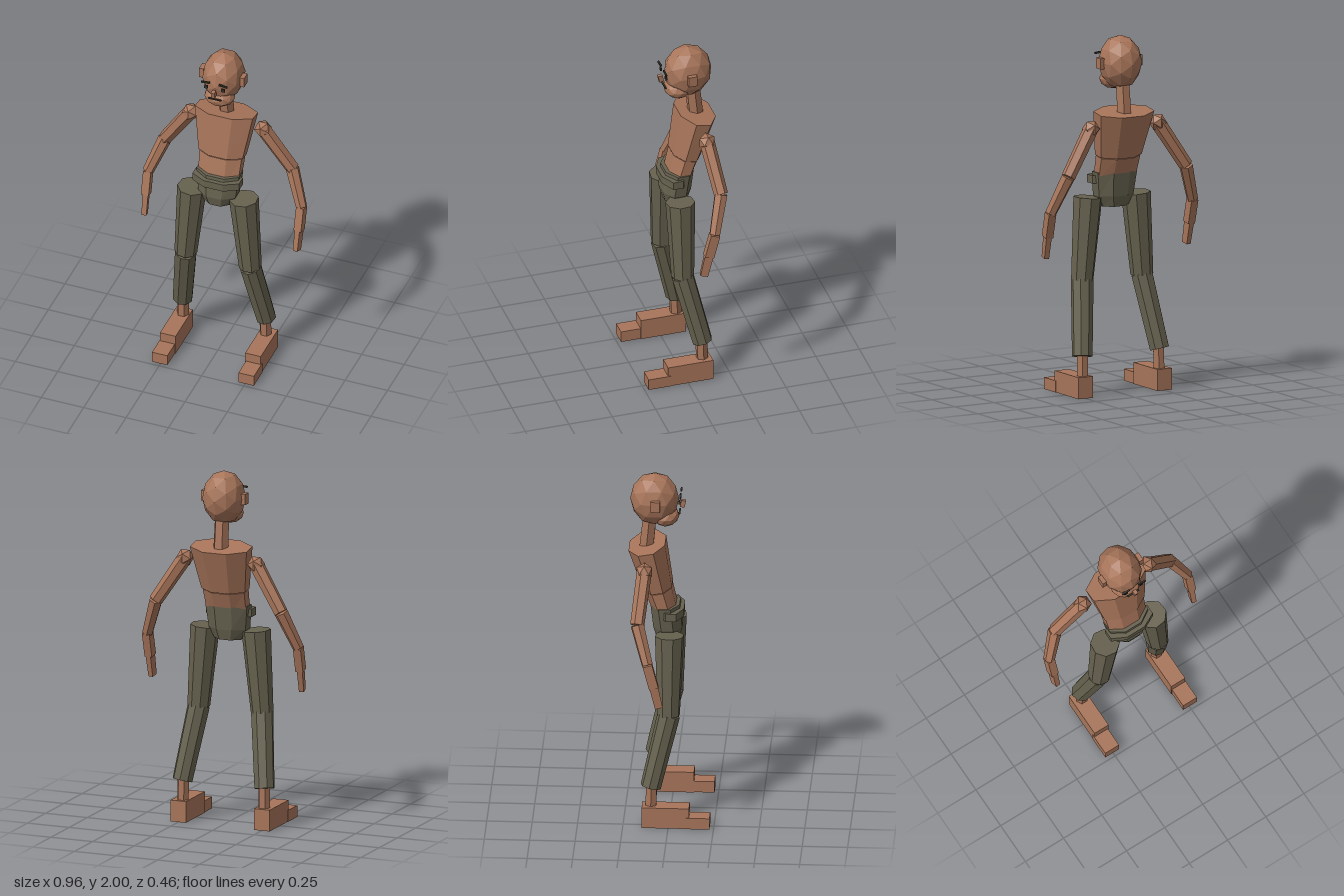
import * as THREE from 'three';

const mat = (name, color) => {
  const m = new THREE.MeshStandardMaterial({ color, flatShading: true });
  m.name = name;
  return m;
};

export function createModel() {
  const skin = mat('skin', 0xa8755a);
  const cloth = mat('trouser cloth', 0x67624f);
  const dark = mat('dark hair', 0x36332a);
  const root = new THREE.Group();
  root.name = 'figure';

  const add = (name, geo, material, pos = [0, 0, 0]) => {
    const mesh = new THREE.Mesh(geo, material);
    mesh.name = name;
    mesh.position.set(...pos);
    root.add(mesh);
    return mesh;
  };
  const box = (name, size, pos, material) => add(name, new THREE.BoxGeometry(...size), material, pos);

  // faceted tapering limb between two points
  const limb = (name, a, b, ra, rb, sides, material, flatten = 1) => {
    const p = new THREE.Vector3(...a), q = new THREE.Vector3(...b);
    const geo = new THREE.CylinderGeometry(rb, ra, p.distanceTo(q), sides);
    geo.rotateY(Math.PI / sides);
    geo.scale(flatten, 1, 1);
    const mesh = add(name, geo, material, p.clone().add(q).multiplyScalar(0.5).toArray());
    mesh.quaternion.setFromUnitVectors(new THREE.Vector3(0, 1, 0), q.sub(p).normalize());
    return mesh;
  };

  // capped loft of octagons, rings from bottom to top: [y, centre z, half width, half depth, forward tilt]
  const loft = (name, rings, material) => {
    const n = 8, pos = [], idx = [], k = 1 / Math.cos(Math.PI / n);
    for (const [y, cz, hw, hd, tilt = 0] of rings) {
      for (let i = 0; i < n; i++) {
        const a = ((i + 0.5) / n) * Math.PI * 2;
        const z = Math.cos(a) * hd * k;
        pos.push(Math.sin(a) * hw * k, y + z * tilt, cz + z);
      }
    }
    for (let r = 0; r < rings.length - 1; r++) {
      for (let i = 0; i < n; i++) {
        const a = r * n + i, b = r * n + ((i + 1) % n);
        idx.push(a, b, b + n, a, b + n, a + n);
      }
    }
    const top = (rings.length - 1) * n;
    for (let i = 1; i < n - 1; i++) idx.push(0, i + 1, i, top, top + i, top + i + 1);
    const geo = new THREE.BufferGeometry();
    geo.setAttribute('position', new THREE.Float32BufferAttribute(pos, 3));
    geo.setIndex(idx);
    geo.computeVertexNormals();
    return add(name, geo, material);
  };

  // torso and hips
  loft('chest', [[1.33, -0.07, 0.13, 0.078, 0.15], [1.58, -0.13, 0.17, 0.1, 0.18]], skin);
  loft('abdomen', [[1.2, -0.03, 0.118, 0.068], [1.325, -0.068, 0.124, 0.074, 0.15]], skin);
  loft('pelvis', [[1.04, -0.015, 0.08, 0.065], [1.1, -0.015, 0.11, 0.08], [1.235, -0.03, 0.125, 0.08]], cloth);
  loft('belt', [[1.17, 0.005, 0.137, 0.07], [1.215, 0.005, 0.137, 0.07]], cloth);
  limb('neck', [0, 1.56, -0.135], [0, 1.76, -0.115], 0.044, 0.042, 6, skin);

  // head
  const ball = (name, r, detail, scale, pos) => {
    const geo = new THREE.IcosahedronGeometry(r, detail);
    geo.scale(...scale);
    return add(name, geo, skin, pos);
  };
  ball('head', 0.15, 1, [0.78, 1, 0.9], [0, 1.85, -0.09]);
  ball('jaw', 0.08, 1, [1.1, 0.72, 0.95], [0, 1.75, -0.03]);
  const nose = box('nose', [0.022, 0.04, 0.026], [0, 1.823, 0.066], skin);
  nose.rotation.x = 0.2;
  box('mouth', [0.075, 0.006, 0.009], [0, 1.775, 0.048], dark);

  for (const s of [1, -1]) {
    const side = s > 0 ? 'left' : 'right';
    box(side + 'Ear', [0.025, 0.06, 0.05], [s * 0.12, 1.85, -0.08], skin);
    box(side + 'Eye', [0.02, 0.018, 0.009], [s * 0.05, 1.85, 0.05], dark);
    const brow = box(side + 'Brow', [0.05, 0.01, 0.009], [s * 0.052, 1.884, 0.055], dark);
    brow.rotation.z = -s * 0.08;

    // arm
    const shoulder = [s * 0.213, 1.5, -0.135], elbow = [s * 0.375, 1.25, -0.165];
    const wrist = [s * 0.452, 1.045, -0.105], knuckle = [s * 0.451, 0.91, -0.07];
    ball(side + 'Shoulder', 0.05, 0, [1, 1, 1], shoulder);
    limb(side + 'UpperArm', shoulder, elbow, 0.042, 0.039, 6, skin);
    limb(side + 'Forearm', elbow, wrist, 0.039, 0.032, 6, skin);
    limb(side + 'Palm', wrist, knuckle, 0.037, 0.037, 4, skin, 0.85);
    limb(side + 'Fingers', knuckle, [s * 0.449, 0.79, -0.043], 0.034, 0.03, 4, skin, 0.65);

    // leg
    const knee = [s * 0.19, 0.635, -0.002];
    limb(side + 'Thigh', [s * 0.153, 1.095, 0], knee, 0.082, 0.063, 8, cloth);
    limb(side + 'Shin', knee, [s * 0.246, 0.228, -0.098], 0.063, 0.057, 8, cloth);
    limb(side + 'Ankle', [s * 0.244, 0.1, -0.097], [s * 0.242, 0.26, -0.093], 0.034, 0.034, 6, skin);
    box(side + 'Foot', [0.092, 0.12, 0.26], [s * 0.251, 0.06, -0.015], skin);
    box(side + 'Toes', [0.09, 0.065, 0.13], [s * 0.255, 0.0325, 0.163], skin);
  }
  return root;
}
